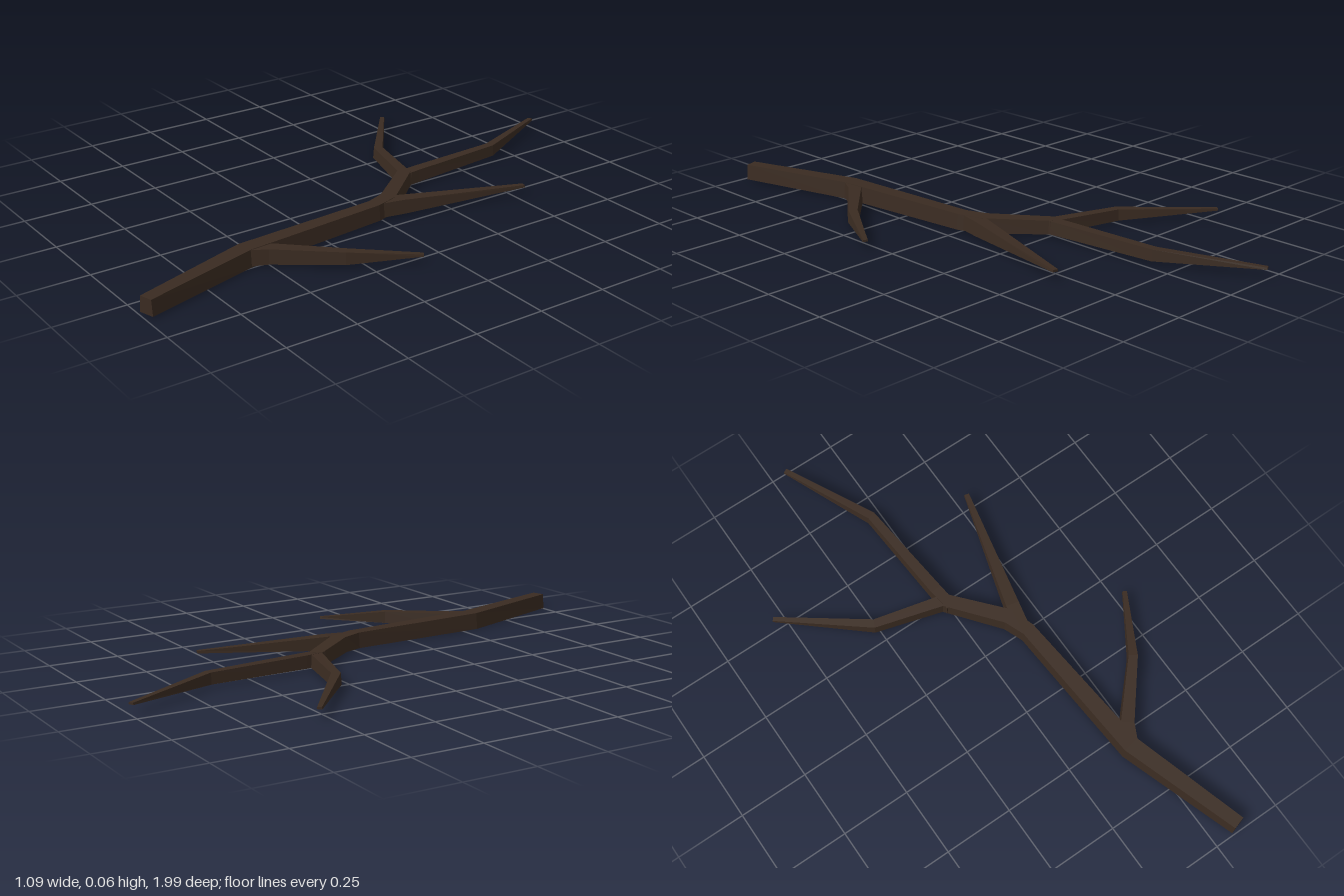
import * as THREE from 'three';

// Four-sided tapering limb; each station is [x, z, width, bottom y, top y].
function limbGeometry(stations) {
  const centres = stations.map(([x, z]) => new THREE.Vector2(x, z));
  const positions = [];
  const index = [];
  const last = stations.length - 1;
  stations.forEach(([x, z, width, low, high], i) => {
    const incoming = centres[i].clone().sub(centres[Math.max(i - 1, 0)]).normalize();
    const outgoing = centres[Math.min(i + 1, last)].clone().sub(centres[i]).normalize();
    const t = incoming.add(outgoing).normalize();
    // Slightly narrower on top than below
    const ring = [[-0.5, low], [0.5, low], [0.42, high], [-0.42, high]];
    for (const [side, y] of ring) {
      positions.push(x + t.y * side * width, y, z - t.x * side * width);
    }
    if (i === last) return;
    for (let k = 0; k < 4; k++) {
      const a = i * 4 + k;
      const b = i * 4 + (k + 1) % 4;
      index.push(a, b, b + 4, a, b + 4, a + 4);
    }
  });
  const e = last * 4;
  index.push(0, 2, 1, 0, 3, 2, e, e + 1, e + 2, e, e + 2, e + 3);
  const geometry = new THREE.BufferGeometry();
  geometry.setAttribute('position', new THREE.Float32BufferAttribute(positions, 3));
  geometry.setIndex(index);
  const faceted = geometry.toNonIndexed();
  faceted.computeVertexNormals();
  return faceted;
}

export function createModel() {
  const group = new THREE.Group();
  group.name = 'branch';
  const bark = new THREE.MeshStandardMaterial({ color: 0x3a2b21, flatShading: true });
  bark.name = 'dark bark';

  const limbs = {
    // Main stem from the cut end up to the upper fork
    stem: [
      [0.345, 0.985, 0.055, 0.004, 0.06],
      [0.212, 0.56, 0.072, 0, 0.06],
      [0.168, 0.02, 0.058, 0.004, 0.06],
      [0.14, -0.06, 0.065, 0.005, 0.059],
      [-0.01, -0.24, 0.055, 0.009, 0.056],
    ],
    // Two twigs at the upper fork
    tipTwig: [
      [0, -0.21, 0.045, 0.01, 0.055],
      [-0.01, -0.29, 0.048, 0.01, 0.055],
      [-0.04, -0.66, 0.036, 0.013, 0.053],
      [-0.195, -0.995, 0.02, 0.031, 0.038],
    ],
    leftTwig: [
      [0.01, -0.235, 0.05, 0.01, 0.055],
      [-0.26, -0.308, 0.038, 0.01, 0.05],
      [-0.54, -0.53, 0.018, 0.03, 0.037],
    ],
    // Straight twig at the bend of the stem
    middleTwig: [
      [0.16, 0, 0.052, 0.007, 0.058],
      [0.178, -0.09, 0.056, 0.008, 0.058],
      [0.293, -0.54, 0.02, 0.029, 0.037],
    ],
    // Bent twig low on the stem
    lowerTwig: [
      [0.212, 0.555, 0.065, 0.004, 0.059],
      [0.25, 0.49, 0.055, 0.006, 0.058],
      [0.412, 0.305, 0.038, 0.013, 0.056],
      [0.537, 0.09, 0.018, 0.028, 0.035],
    ],
  };

  for (const [name, stations] of Object.entries(limbs)) {
    const mesh = new THREE.Mesh(limbGeometry(stations), bark);
    mesh.name = name;
    group.add(mesh);
  }
  return group;
}
